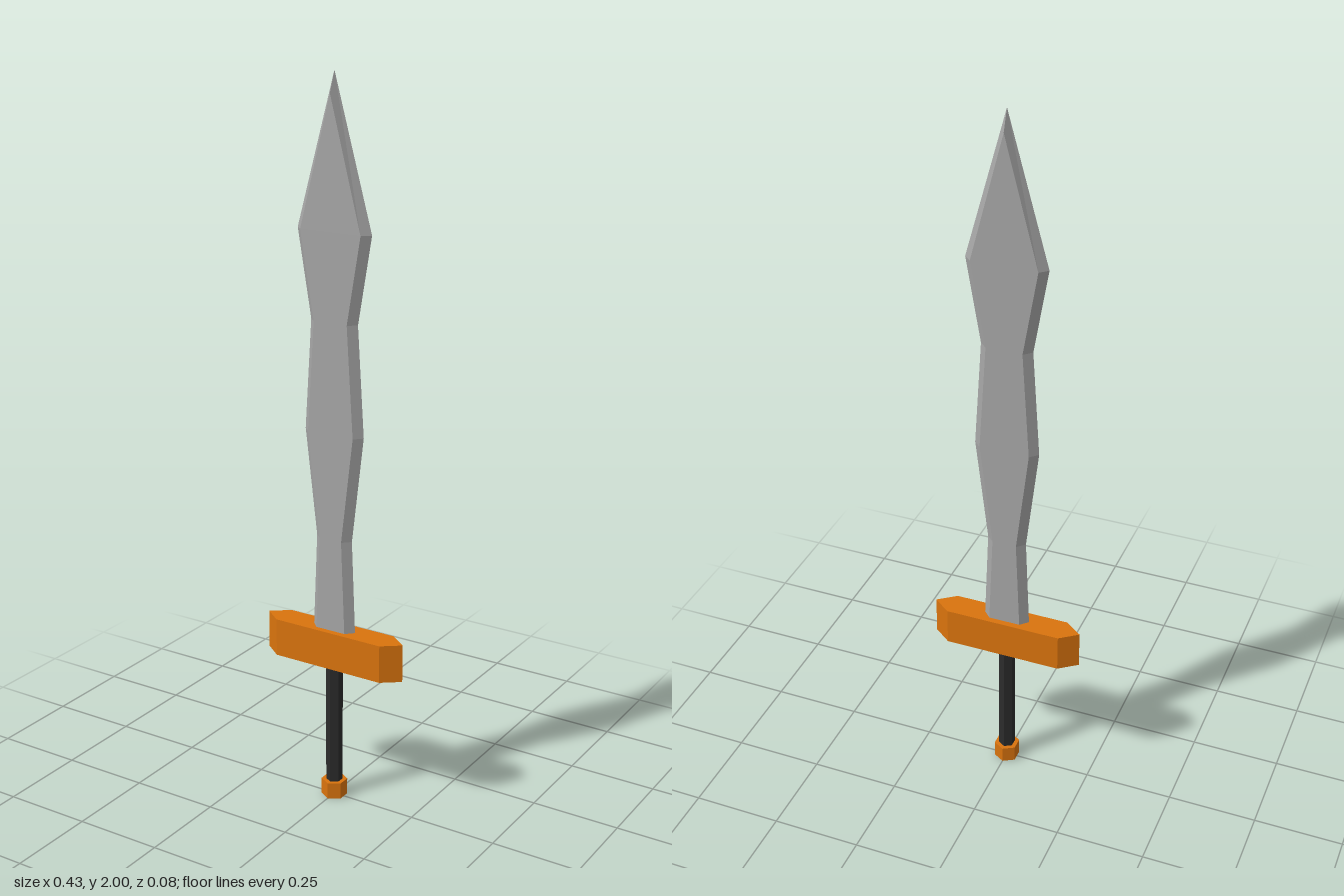
import * as THREE from 'three';

const steel = new THREE.MeshStandardMaterial({ name: 'steel', color: 0xa6a6a6, flatShading: true });
const bronze = new THREE.MeshStandardMaterial({ name: 'bronze', color: 0xd9730d, flatShading: true });
const leather = new THREE.MeshStandardMaterial({ name: 'darkLeather', color: 0x2b2b2b, flatShading: true });

function part(name, geometry, material, y = 0) {
  const mesh = new THREE.Mesh(geometry, material);
  mesh.name = name;
  mesh.position.y = y;
  return mesh;
}

// Leaf blade: hexagonal sections with a bevel on both cutting edges
function bladeGeometry() {
  const depth = 0.021, bevel = 0.021;
  const profile = [[0.5, 0.066], [0.77, 0.055], [1.065, 0.09], [1.365, 0.071], [1.6, 0.111]];
  const positions = [], index = [];
  const ring = (y, outer, inner, edgeY = y) => positions.push(
    outer, edgeY, 0, inner, y, depth, -inner, y, depth,
    -outer, edgeY, 0, -inner, y, -depth, inner, y, -depth);
  for (const [y, w] of profile) ring(y, w, w - bevel);
  // flats close to a short ridge just below the point
  ring(1.945, 0, 0, 2);
  for (let r = 0; r < profile.length; r++) {
    for (let i = 0; i < 6; i++) {
      const a = r * 6 + i, b = r * 6 + (i + 1) % 6;
      index.push(a, a + 6, b, b, a + 6, b + 6);
    }
  }
  for (let i = 1; i < 5; i++) index.push(0, i, i + 1);
  const geometry = new THREE.BufferGeometry();
  geometry.setAttribute('position', new THREE.Float32BufferAttribute(positions, 3));
  geometry.setIndex(index);
  const flat = geometry.toNonIndexed();
  flat.computeVertexNormals();
  return flat;
}

// Crossguard: long bar with pointed ends
function guardGeometry() {
  const outline = [[0.215, 0], [0.165, 0.038], [-0.165, 0.038], [-0.215, 0], [-0.165, -0.038], [0.165, -0.038]];
  const shape = new THREE.Shape(outline.map(([x, z]) => new THREE.Vector2(x, z)));
  return new THREE.ExtrudeGeometry(shape, { depth: 0.107, bevelEnabled: false }).rotateX(-Math.PI / 2);
}

export function createModel() {
  const sword = new THREE.Group();
  sword.name = 'sword';
  sword.add(
    part('blade', bladeGeometry(), steel),
    part('crossguard', guardGeometry(), bronze, 0.401),
    part('grip', new THREE.CylinderGeometry(0.023, 0.023, 0.37, 6), leather, 0.225),
    part('pommel', new THREE.CylinderGeometry(0.036, 0.036, 0.047, 6), bronze, 0.0235),
  );
  return sword;
}
